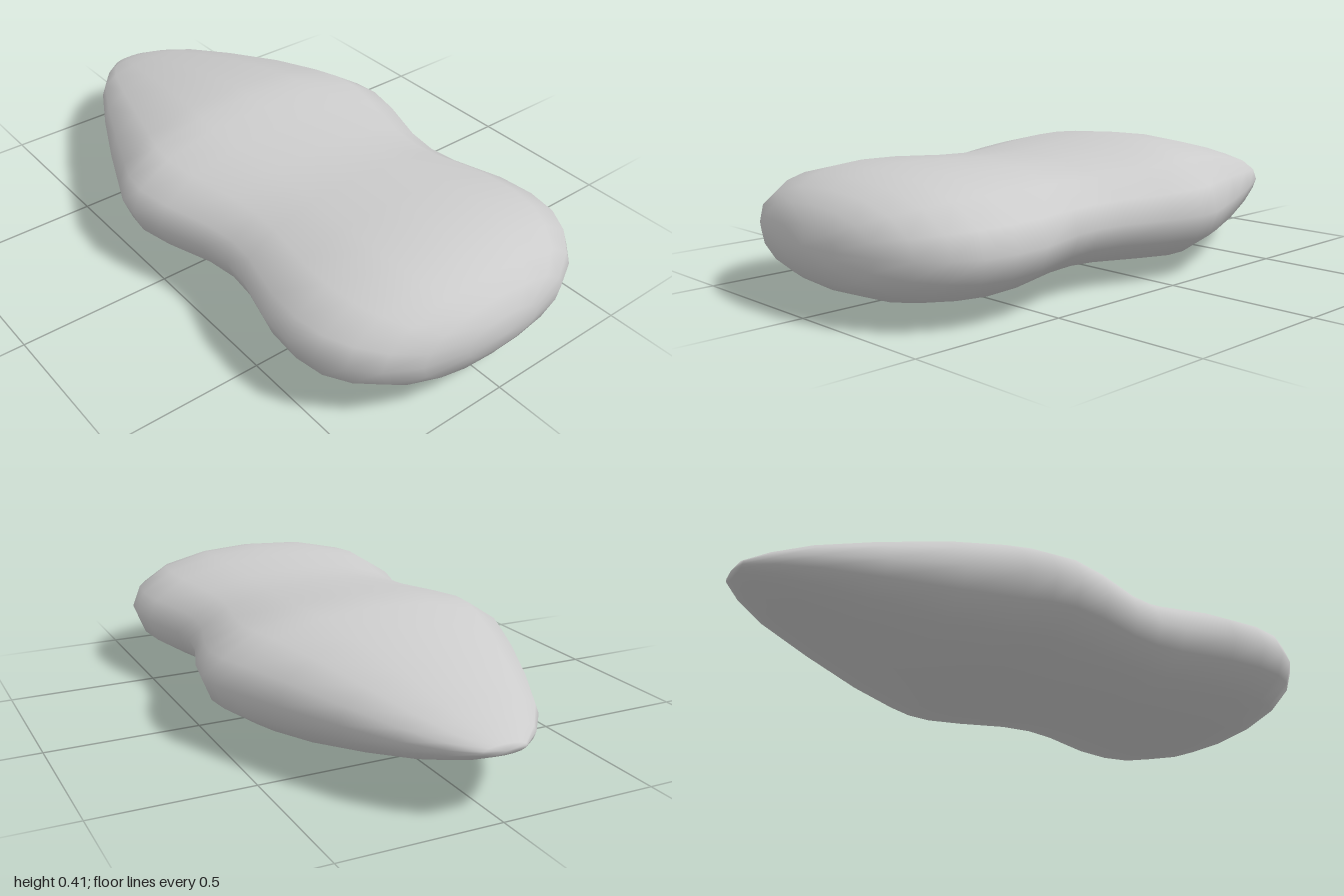
import * as THREE from 'three';

// Cross-sections from back tip to front: [z, half width, half height]
const STATIONS = [
  [-0.99, 0.07, 0.016], [-0.925, 0.145, 0.047], [-0.82, 0.228, 0.085],
  [-0.65, 0.318, 0.132], [-0.445, 0.413, 0.18], [-0.28, 0.482, 0.203],
  [-0.2, 0.515, 0.206], [-0.117, 0.526, 0.203], [0, 0.503, 0.193],
  [0.16, 0.45, 0.18], [0.265, 0.435, 0.177], [0.36, 0.445, 0.18],
  [0.53, 0.493, 0.191], [0.65, 0.503, 0.193], [0.75, 0.488, 0.186],
  [0.83, 0.445, 0.17], [0.9, 0.376, 0.144], [0.955, 0.276, 0.107],
  [0.985, 0.138, 0.056],
];
const SIDES = 16;
const MID_Y = 0.206;

// Slightly full oval rings joined into one closed smooth skin
function loftedBody() {
  const positions = [];
  const index = [];
  for (const [z, w, h] of STATIONS) {
    for (let j = 0; j < SIDES; j++) {
      const a = (j / SIDES) * Math.PI * 2;
      const fullness = 1 + 0.035 * Math.sin(2 * a) ** 2;
      positions.push(Math.cos(a) * w * fullness, MID_Y + Math.sin(a) * h * fullness, z);
    }
  }
  const last = STATIONS.length - 1;
  const back = positions.length / 3;
  const front = back + 1;
  positions.push(0, MID_Y, -1, 0, MID_Y, 0.997);

  const at = (i, j) => i * SIDES + (j % SIDES);
  for (let j = 0; j < SIDES; j++) {
    index.push(back, at(0, j + 1), at(0, j));
    for (let i = 0; i < last; i++) {
      index.push(at(i, j), at(i, j + 1), at(i + 1, j));
      index.push(at(i, j + 1), at(i + 1, j + 1), at(i + 1, j));
    }
    index.push(front, at(last, j), at(last, j + 1));
  }

  const geometry = new THREE.BufferGeometry();
  geometry.setAttribute('position', new THREE.Float32BufferAttribute(positions, 3));
  geometry.setIndex(index);
  geometry.computeVertexNormals();
  return geometry;
}

export function createModel() {
  const group = new THREE.Group();
  group.name = 'waistedPebble';
  const body = new THREE.Mesh(loftedBody(), new THREE.MeshStandardMaterial({ color: 0xcccccc }));
  body.name = 'body';
  group.add(body);
  return group;
}
